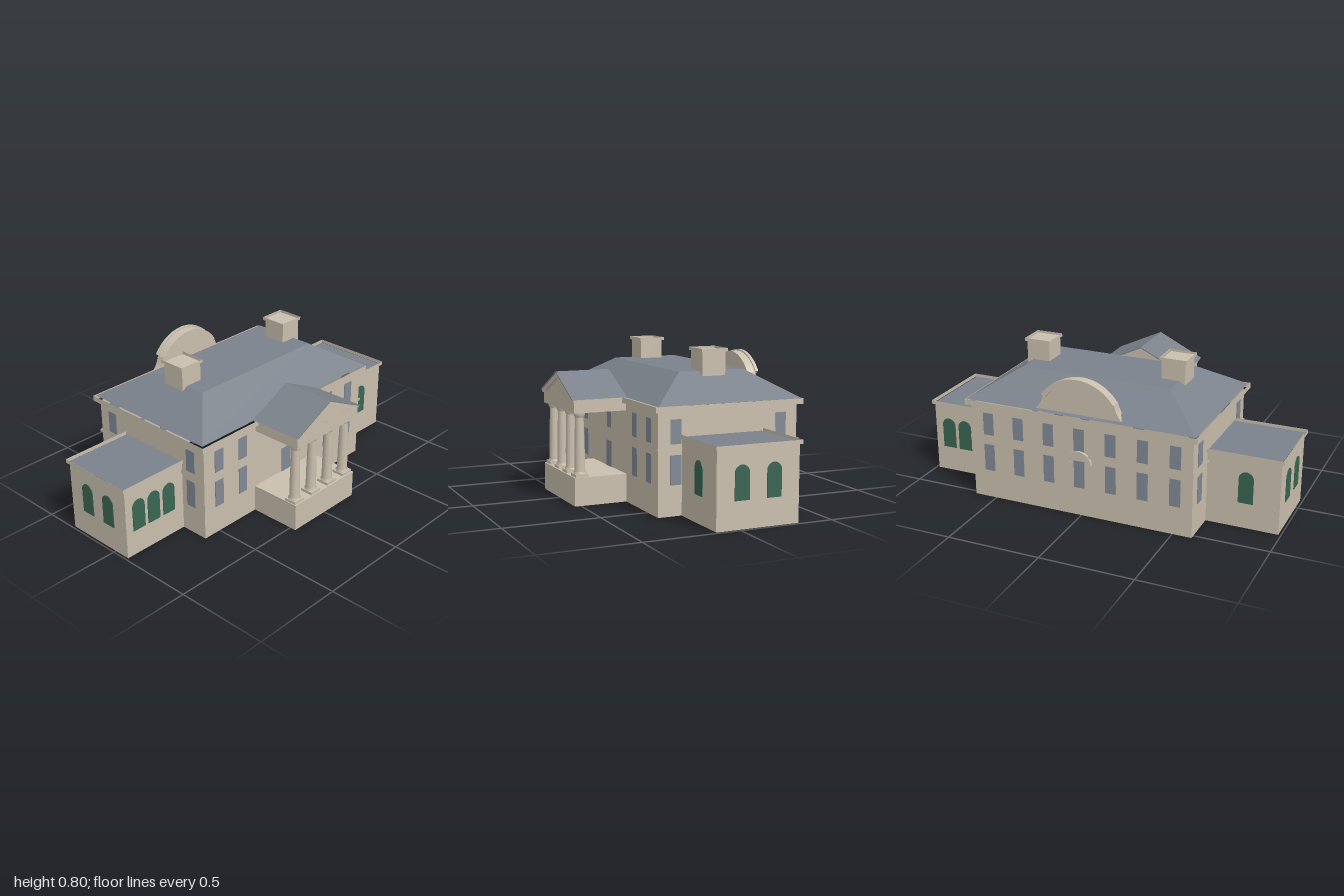
import * as THREE from 'three';

const mat = (name, color) => {
  const m = new THREE.MeshStandardMaterial({ color, side: THREE.DoubleSide });
  m.name = name;
  return m;
};

export function createModel() {
  const stone = mat('stone', 0xcabfae);
  const slate = mat('slate', 0x7b828b);
  const glass = mat('window grey', 0x828a96);
  const green = mat('arched window green', 0x3a6652);

  const model = new THREE.Group();
  const add = (name, geometry, material, parent = model) => {
    const mesh = new THREE.Mesh(geometry, material);
    mesh.name = name;
    parent.add(mesh);
    return mesh;
  };

  // Box between limits, keeping only the faces listed (px nx py ny pz nz)
  const box = (x0, x1, y0, y1, z0, z1, keep = [0, 1, 2, 3, 4, 5]) => {
    const g = new THREE.BoxGeometry(x1 - x0, y1 - y0, z1 - z0);
    const index = Array.from(g.index.array);
    g.setIndex(keep.flatMap(f => index.slice(f * 6, f * 6 + 6)));
    g.clearGroups();
    g.translate((x0 + x1) / 2, (y0 + y1) / 2, (z0 + z1) / 2);
    return g;
  };
  const SIDES = [0, 1, 4, 5];       // open ring of four walls
  const SHELL = [0, 1, 2, 4, 5];    // walls with a lid, open below
  const slab = (x0, x1, y, z0, z1) => box(x0, x1, y, y + 0.001, z0, z1, [2]);

  const polygon = pts => new THREE.Shape(pts.map(p => new THREE.Vector2(...p)));
  // Extrude a (z, y) outline along x from x0 to x1
  const alongX = (shape, x0, x1) => new THREE.ExtrudeGeometry(shape,
    { depth: x1 - x0, bevelEnabled: false, curveSegments: 20 })
    .rotateY(Math.PI / 2).translate(x0, 0, 0);

  // Thin window plates on walls
  const rectShape = (w, h) => polygon([[-w / 2, 0], [w / 2, 0], [w / 2, h], [-w / 2, h]]);
  const archShape = (w, h) => {
    const s = new THREE.Shape();
    s.moveTo(-w / 2, 0);
    s.lineTo(w / 2, 0);
    s.lineTo(w / 2, h - w / 2);
    s.absarc(0, h - w / 2, w / 2, 0, Math.PI, false);
    s.closePath();
    return s;
  };
  const plate = (name, shape, x, y, z, facesX, material) => {
    const g = new THREE.ExtrudeGeometry(shape, { depth: 0.008, bevelEnabled: false, curveSegments: 10 });
    g.translate(0, 0, -0.004);
    if (facesX) g.rotateY(Math.PI / 2);
    add(name, g, material).position.set(x, y, z);
  };

  // Main block with string course and cornice
  add('mainWalls', box(-0.525, 0.25, 0, 0.518, -0.624, 0.603, SIDES), stone);
  add('stringCourse', box(-0.535, 0.256, 0.33, 0.344, -0.632, 0.611, SIDES), stone);
  add('mainCornice', box(-0.55, 0.273, 0.518, 0.547, -0.65, 0.63, SIDES), stone);

  // Hipped roof with a flat top
  const roof = box(-0.54, 0.258, 0.547, 0.685, -0.645, 0.618, SHELL);
  const p = roof.attributes.position;
  for (let i = 0; i < p.count; i++) {
    if (p.getY(i) > 0.6) {
      p.setX(i, p.getX(i) < -0.1 ? -0.322 : 0.042);
      p.setZ(i, p.getZ(i) < 0 ? -0.423 : 0.4);
    }
  }
  roof.computeVertexNormals();
  add('mainRoof', roof, slate);

  // Chimneys with a rim
  for (const z of [-0.397, 0.367]) {
    const chimney = new THREE.Group();
    chimney.name = 'chimney';
    model.add(chimney);
    add('chimneyStack', box(-0.2, -0.07, 0.655, 0.79, z - 0.064, z + 0.064, SHELL), stone, chimney);
    add('chimneyRim', box(-0.21, -0.063, 0.783, 0.8, z - 0.073, z + 0.073, SIDES), stone, chimney);
  }

  // Side wings with flat roofs and rims
  const wings = [
    { x1: 0.092, z0: 0.603, z1: 0.986, rim: [0.604, 1] },
    { x1: 0.122, z0: -0.986, z1: -0.624, rim: [-1, -0.625] },
  ];
  for (const { x1, z0, z1, rim } of wings) {
    add('wingWalls', box(-0.321, x1, 0, 0.39, z0, z1, SIDES), stone);
    add('wingRoof', slab(-0.321, x1, 0.391, z0, z1), slate);
    add('wingRim', box(-0.331, x1 + 0.01, 0.385, 0.405, rim[0], rim[1], SIDES), stone);
  }

  // Arched wing windows
  const arch = archShape(0.078, 0.17);
  const archAt = (x, z, facesX) => plate('archedWindow', arch, x, 0.139, z, facesX, green);
  for (const x of [-0.191, -0.037]) archAt(x, 0.986, false);
  for (const x of [-0.184, -0.012]) archAt(x, -0.986, false);
  for (const z of [0.702, 0.803, 0.902]) {
    archAt(0.092, z, true);
    archAt(-0.321, -z, true);
  }
  archAt(0.122, -0.809, true);
  archAt(-0.321, 0.809, true);

  // Rectangular windows, two storeys
  const upper = rectShape(0.058, 0.122), lower = rectShape(0.058, 0.148);
  const pair = (x, z, facesX) => {
    plate('upperWindow', upper, x, 0.358, z, facesX, glass);
    plate('lowerWindow', lower, x, 0.156, z, facesX, glass);
  };
  for (const z of [0.603, -0.624]) for (const x of [-0.431, 0.156]) pair(x, z, false);
  for (const z of [0.499, 0.327, -0.348, -0.52]) pair(0.25, z, true);
  for (let i = -3; i <= 3; i++) pair(-0.525, i * 0.173 - 0.008, true);
  plate('upperWindow', upper, 0.25, 0.358, -0.008, true, glass);
  plate('door', rectShape(0.068, 0.14), 0.25, 0.147, -0.008, true, glass);

  // Portico deck, beam and pediment
  add('porticoDeck', box(0.25, 0.533, 0, 0.147, -0.233, 0.233, SHELL), stone);
  add('porticoBeam', box(0.25, 0.533, 0.477, 0.547, -0.232, 0.232, SIDES), stone);
  add('porticoCornice', box(0.25, 0.54, 0.535, 0.549, -0.242, 0.242, SIDES), stone);
  add('pedimentPanel', alongX(polygon([[-0.232, 0.545], [0.232, 0.545], [0, 0.653]]), 0.522, 0.53), stone);
  add('pedimentFrame', alongX(polygon([[-0.243, 0.547], [-0.18, 0.547], [0, 0.636],
    [0.18, 0.547], [0.243, 0.547], [0, 0.662]]), 0.52, 0.543), stone);
  add('porticoRoof', alongX(polygon([[-0.25, 0.547], [-0.238, 0.547], [0, 0.662],
    [0.238, 0.547], [0.25, 0.547], [0, 0.668]]), 0.25, 0.547), slate);

  // Four turned columns on square plinths
  const profile = [[0.033, 0.16], [0.033, 0.168], [0.027, 0.175], [0.027, 0.26], [0.022, 0.448],
    [0.024, 0.455], [0.03, 0.464], [0.03, 0.478]].map(q => new THREE.Vector2(...q));
  for (const z of [0.194, 0.066, -0.063, -0.191]) {
    const column = new THREE.Group();
    column.name = 'column';
    column.position.set(0.49, 0, z);
    model.add(column);
    add('columnPlinth', box(-0.035, 0.035, 0.147, 0.162, -0.035, 0.035), stone, column);
    add('columnShaft', new THREE.LatheGeometry(profile, 20), stone, column);
  }

  // Curved gable on the rear eave, with flared feet
  const gable = new THREE.Shape();
  gable.moveTo(-0.255, 0.545);
  gable.quadraticCurveTo(-0.21, 0.57, -0.195, 0.637);
  gable.absarc(0, 0.507, 0.231, Math.PI - 0.595, 0.595, true);
  gable.quadraticCurveTo(0.21, 0.57, 0.255, 0.545);
  gable.closePath();
  add('rearGable', alongX(gable, -0.525, -0.475).translate(0, 0, -0.01), stone);

  // Curved strip between two radii
  const strip = (cy, rIn, rOut, a) => {
    const s = new THREE.Shape();
    s.absarc(0, cy, rOut, a, Math.PI - a, false);
    s.absarc(0, cy, rIn, Math.PI - a, a, true);
    s.closePath();
    return s;
  };
  add('gableMoulding', alongX(strip(0.507, 0.212, 0.238, 0.6), -0.54, -0.522).translate(0, 0, -0.01), stone);
  add('rearDoorHood', alongX(strip(0.29, 0.052, 0.072, 0.08), -0.54, -0.522).translate(0, 0, -0.008), stone);

  return model;
}
